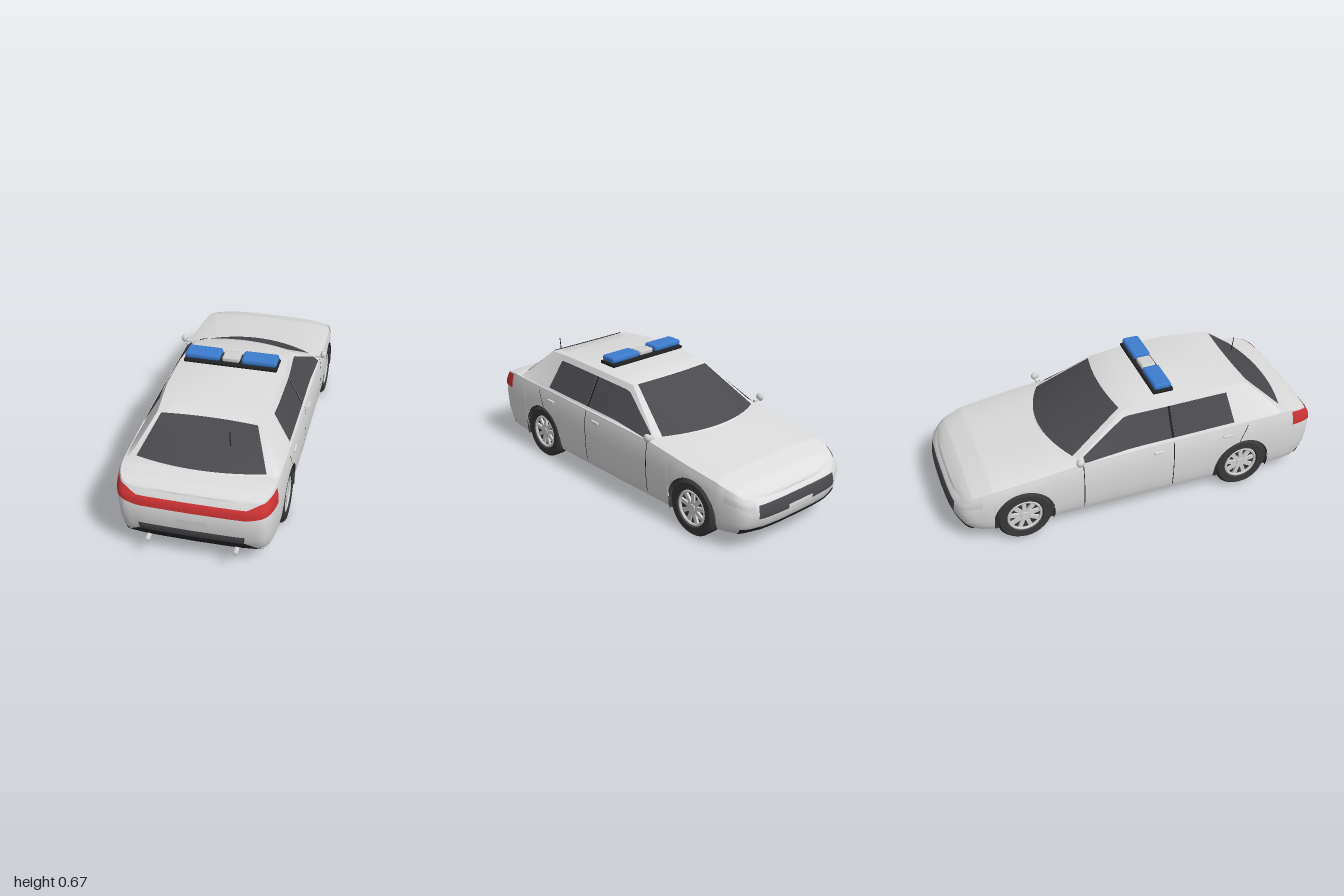
import * as THREE from 'three';
import { toCreasedNormals } from 'three/addons/utils/BufferGeometryUtils.js';
import { RoundedBoxGeometry } from 'three/addons/geometries/RoundedBoxGeometry.js';

const V = (x, y, z) => new THREE.Vector3(x, y, z);
const clamp = THREE.MathUtils.clamp, mix = THREE.MathUtils.lerp;

// Look up a row of values in a table sorted by its first column
function look(table, s) {
  let i = 0;
  while (i < table.length - 2 && s > table[i + 1][0]) i++;
  const a = table[i], b = table[i + 1], f = clamp((s - a[0]) / (b[0] - a[0]), 0, 1);
  return a.map((v, j) => mix(v, b[j], f));
}
const steps = (a, b, n) => Array.from({ length: n + 1 }, (_, i) => mix(a, b, i / n));

// Half plan outline, nose to tail
const N = 320;
const outline = new THREE.CatmullRomCurve3([[0, -1], [0.14, -0.998], [0.25, -0.985], [0.33, -0.95], [0.372, -0.85],
  [0.39, -0.65], [0.395, -0.2], [0.395, 0.3], [0.392, 0.6], [0.387, 0.82], [0.37, 0.92], [0.34, 0.965], [0.27, 0.982],
  [0, 0.99]].map(([x, z]) => V(x, 0, z)), false, 'centripetal').getSpacedPoints(N);
const at = (i) => {
  const j = i < 0 ? -i : i > N ? 2 * N - i : i, p = outline[j];
  return V(i < 0 || i > N ? -p.x : p.x, 0, p.z);
};

// Shoulder height along the car, and how far the side tucks in from sill to shoulder
const FLOOR = 0.09, AXLE = 0.145, ARCH = 0.157, WHEELS = [-0.65, 0.555];
const SHOULDER = [[-1, 0.265], [-0.97, 0.28], [-0.92, 0.305], [-0.8, 0.338], [-0.5, 0.376], [-0.35, 0.394], [0, 0.405],
  [0.5, 0.414], [0.83, 0.418], [0.93, 0.405], [0.99, 0.38]];
const TUCK = [[0, 0.94], [0.1, 0.97], [0.3, 0.99], [0.6, 1], [0.85, 0.992], [1, 0.968]];
const shoulder = (z) => look(SHOULDER, z)[1];
function skin(p, y, off = 0) {
  const k = look(TUCK, (y - FLOOR) / (shoulder(p.z) - FLOOR))[1];
  const end = Math.sign(p.z) * clamp((Math.abs(p.z) - 0.8) / 0.18, 0, 1);
  return V(p.x * k + off * clamp(p.x / 0.3, -1, 1), y, p.z + end * (off - (1 - k)));
}
function sill(z) {
  const d = Math.min(...WHEELS.map((w) => Math.abs(z - w)));
  return d < ARCH ? AXLE + Math.sqrt(ARCH * ARCH - d * d) : FLOOR;
}

// Cabin stations: edge z, edge x, edge y, centre z, centre y
const CABIN = [[-0.36, 0.352, 0.395, -0.47, 0.402], [-0.08, 0.258, 0.581, -0.11, 0.592], [0.15, 0.277, 0.597, 0.15, 0.62],
  [0.4, 0.275, 0.599, 0.4, 0.612], [0.61, 0.257, 0.584, 0.595, 0.588], [0.78, 0.352, 0.42, 0.84, 0.424]];
function roof(edgeZ, t, off = 0) {
  const [ez, ex, ey, cz, cy] = look(CABIN, edgeZ);
  const slope = edgeZ < 0 ? -0.5 : edgeZ > 0.6 ? 0.6 : 0;
  return V(ex * t, mix(cy, ey, t * t) + off, mix(cz, ez, t * t) + off * slope);
}
function cabinSide(z, f, side, off = 0) {
  const [, ex, ey] = look(CABIN, z), base = shoulder(z) - 0.004;
  return V(side * (mix(0.376, ex, f) + off), mix(base, Math.max(ey, base), f) + off * 0.5, z);
}

// Surface through rows of points, turned to face outwards
function surface(rows) {
  const geo = new THREE.BufferGeometry().setFromPoints(rows.flat());
  const w = rows[0].length, tris = [], flat = rows.flat(), centre = V(0, 0.3, 0);
  for (let i = 0; i < rows.length - 1; i++) for (let j = 0; j < w - 1; j++) {
    const a = i * w + j, b = a + w;
    tris.push([a, b, a + 1], [b, b + 1, a + 1]);
  }
  let out = 0;
  for (const [a, b, c] of tris) {
    const n = flat[b].clone().sub(flat[a]).cross(flat[c].clone().sub(flat[a]));
    out += n.dot(flat[a].clone().sub(centre));
  }
  geo.setIndex(tris.flatMap(([a, b, c]) => (out < 0 ? [a, c, b] : [a, b, c])));
  return toCreasedNormals(geo, 0.6);
}

export function createModel() {
  const car = new THREE.Group();
  car.name = 'patrolCar';
  const paint = (name, color) => Object.assign(new THREE.MeshStandardMaterial({ color, side: THREE.DoubleSide }), { name });
  const white = paint('bodyWhite', 0xdcdcdc), glass = paint('tintedGlass', 0x4a494e), black = paint('underbodyBlack', 0x222224);
  const rubber = paint('tyreRubber', 0x38383a), red = paint('tailLampRed', 0xd03434), blue = paint('beaconBlue', 0x3d7dd0);
  const metal = paint('rimSilver', 0xd2d2d2);
  const add = (name, geo, mat, x = 0, y = 0, z = 0, parent = car) => {
    const m = new THREE.Mesh(geo, mat);
    m.name = name;
    m.position.set(x, y, z);
    parent.add(m);
    return m;
  };

  // Lower body: side skin with wheel arches, bonnet and boot top, floor
  const ring = steps(0, 2 * N, 2 * N).map(at);
  add('bodySides', surface(ring.map((p) => [0, 0.06, 0.12, 0.3, 0.6, 0.85, 0.94, 1]
    .map((v) => skin(p, mix(sill(p.z), shoulder(p.z), v))))), white);
  const across = [-1, -0.97, -0.9, -0.8, -0.6, -0.3, 0, 0.3, 0.6, 0.8, 0.9, 0.97, 1];
  add('bodyTop', surface(outline.map((p) => {
    const e = skin(p, shoulder(p.z)), crown = (p.z < 0 ? 0.024 : 0.009) * Math.min(1, p.x / 0.35);
    return across.map((t) => V(e.x * t, e.y + crown * (1 - t ** 4), e.z));
  })), white);
  add('floor', surface(outline.map((p) => {
    const e = skin(p, FLOOR);
    return [V(-e.x, e.y, e.z), e];
  })), black);

  // Painted panels that follow the skin
  const patch = (name, i0, i1, lo, hi, mat, off = 0.005) => {
    const pts = [];
    for (let i = i0; i <= i1; i++) pts.push(at(i));
    add(name, surface(pts.map((p) => steps(0, 1, 6).map((f) =>
      skin(p, Math.min(shoulder(p.z) - 0.004, mix(lo(Math.abs(p.x)), hi(Math.abs(p.x)), f)), off)))), mat);
  };
  const noseAt = (x) => outline.findIndex((p) => p.x > x);
  const zAt = (z) => outline.findIndex((p) => p.z > z);
  const tailAt = (x) => outline.findIndex((p) => p.z > 0.8 && p.x < x);
  const ramp = (x0, y0, x1, y1) => (x) => look([[x0, y0], [x1, y1]], x)[1];
  const level = (y) => () => y;
  const tail = (name, i, lo, hi, mat, off) => patch(name, i, 2 * N - i, lo, hi, mat, off);
  const nose = (name, i, lo, hi, mat, off) => patch(name, -i, i, lo, hi, mat, off);
  tail('tailLampBand', zAt(0.84), ramp(0.265, 0.305, 0.385, 0.33), ramp(0.265, 0.355, 0.385, 0.41), red);
  tail('rearBumperInsert', tailAt(0.26), level(0.155), level(0.2), glass);
  tail('rearDiffuser', tailAt(0.37), level(FLOOR), ramp(0.26, 0.155, 0.37, 0.092), black);
  tail('rearPlate', tailAt(0.077), level(0.22), level(0.263), white);
  nose('grille', noseAt(0.26), level(0.18), level(0.248), glass);
  nose('frontPlate', noseAt(0.075), level(0.165), level(0.205), white, 0.009);
  nose('frontLip', noseAt(0.335), level(FLOOR), level(0.13), black);
  const h0 = noseAt(0.27), h1 = zAt(-0.86);
  const lampLow = ramp(0.27, 0.205, 0.36, 0.25), lampHigh = ramp(0.27, 0.26, 0.36, 0.32);
  patch('leftHeadlamp', h0, h1, lampLow, lampHigh, metal);
  patch('rightHeadlamp', -h1, -h0, lampLow, lampHigh, metal);

  // Cabin shell with front and rear screens
  const shellZ = [...steps(-0.36, -0.08, 4), 0.03, 0.15, 0.27, 0.4, 0.5, ...steps(0.61, 0.78, 4)];
  const arc = steps(-1, 1, 16);
  add('roofShell', surface(shellZ.map((z) => arc.map((t) => roof(z, t)))), white);
  const screen = (name, a, b) =>
    add(name, surface(steps(a, b, 6).map((z) => arc.map((t) => roof(z, t * 0.91, 0.006)))), glass);
  screen('windscreen', -0.35, -0.087);
  screen('rearScreen', 0.617, 0.772);

  for (const s of [1, -1]) {
    const side = s > 0 ? 'left' : 'right';
    // Cabin sides and side windows
    add(side + 'CabinSide', surface(shellZ.map((z) => steps(0, 1, 4).map((f) => cabinSide(z, f, s)))), white);
    const pane = (name, a, b) => add(side + name, surface([...steps(a, b, 16)].map((z) =>
      steps(0.08, 0.85, 4).map((f) => cabinSide(z + (z > 0.4 ? 0.012 * (1 - 2 * f) : 0), f, s, 0.005)))), glass);
    pane('FrontWindow', -0.325, 0.148);
    pane('RearWindow', 0.162, 0.49);
    add(side + 'WindowPillar', surface([0.148, 0.162].map((z) =>
      steps(0.08, 0.85, 4).map((f) => cabinSide(z, f, s, 0.004)))), black);

    // Door gaps and handles
    for (const [zTop, zLow, yLow] of [[-0.335, -0.335, 0.12], [0.155, 0.155, 0.12], [0.575, 0.53, 0.305]]) {
      add(side + 'DoorGap', surface(steps(0, 1, 8).map((f) => [-0.002, 0.002].map((d) =>
        skin(V(s * 0.394, 0, mix(zLow, zTop, f) + d), mix(yLow, 0.4, f), 0.003)))), black);
    }
    for (const z of [0.07, 0.46]) add(side + 'DoorHandle', new RoundedBoxGeometry(0.012, 0.014, 0.055, 1, 0.004), white, s * 0.394, 0.362, z);

    // Door mirror
    add(side + 'MirrorArm', new THREE.BoxGeometry(0.04, 0.012, 0.015), white, s * 0.378, 0.408, -0.352);
    add(side + 'Mirror', new THREE.SphereGeometry(1, 12, 8).scale(0.016, 0.021, 0.022), metal, s * 0.401, 0.421, -0.355);

    // Exhaust tip
    add(side + 'Exhaust', new THREE.CylinderGeometry(0.013, 0.013, 0.06, 10).rotateX(Math.PI / 2), metal, s * 0.215, 0.107, 0.97);

    // Wheels and arch linings
    for (const z of WHEELS) {
      const wheel = new THREE.Group();
      wheel.name = side + (z < 0 ? 'FrontWheel' : 'RearWheel');
      wheel.position.set(s * 0.34, AXLE, z);
      wheel.rotation.y = s > 0 ? 0 : Math.PI;
      car.add(wheel);
      const tyre = [[0.09, -0.045], [0.132, -0.045], [0.145, -0.03], [0.145, 0.03], [0.132, 0.045], [0.098, 0.045], [0.09, 0.03]];
      const tyreGeo = new THREE.LatheGeometry(tyre.map(([r, y]) => new THREE.Vector2(r, y)), 32).rotateZ(-Math.PI / 2);
      add('tyre', toCreasedNormals(tyreGeo, 0.5), rubber, 0, 0, 0, wheel);
      add('wheelDisc', new THREE.CylinderGeometry(0.092, 0.092, 0.05, 28).rotateZ(Math.PI / 2), rubber, -0.005, 0, 0, wheel);
      add('rimRing', new THREE.TorusGeometry(0.086, 0.008, 6, 32).rotateY(Math.PI / 2), metal, 0.034, 0, 0, wheel);
      add('hub', new THREE.CylinderGeometry(0.02, 0.026, 0.02, 16).rotateZ(-Math.PI / 2), metal, 0.028, 0, 0, wheel);
      for (let i = 0; i < 9; i++) {
        const spoke = new THREE.BoxGeometry(0.016, 0.07, 0.021).translate(0, 0.05, 0).rotateX(i * Math.PI * 2 / 9);
        add('spoke', spoke, metal, 0.026, 0, 0, wheel);
      }
      add('archLining', new THREE.CylinderGeometry(ARCH, ARCH, 0.13, 32, 1, true, -0.35, Math.PI + 0.7).rotateZ(Math.PI / 2),
        rubber, s * 0.322, AXLE, z);
      add('archBack', new THREE.CircleGeometry(ARCH, 32, -0.35, Math.PI + 0.7).rotateY(s * Math.PI / 2), rubber, s * 0.362, AXLE, z);
    }

    // Blue beacon
    add(side + 'Beacon', new RoundedBoxGeometry(0.184, 0.034, 0.095, 1, 0.014), blue, s * 0.147, 0.653, 0.147);
  }

  // Light bar base and centre lamp, aerial
  add('lightBarBase', new RoundedBoxGeometry(0.486, 0.018, 0.112, 1, 0.006), black, 0, 0.628, 0.147);
  add('lightBarCentre', new RoundedBoxGeometry(0.092, 0.028, 0.08, 1, 0.01), metal, 0, 0.65, 0.147);
  add('aerial', new THREE.CylinderGeometry(0.002, 0.003, 0.1, 6), black, 0.127, 0.552, 0.717).rotation.x = 0.13;
  return car;
}
